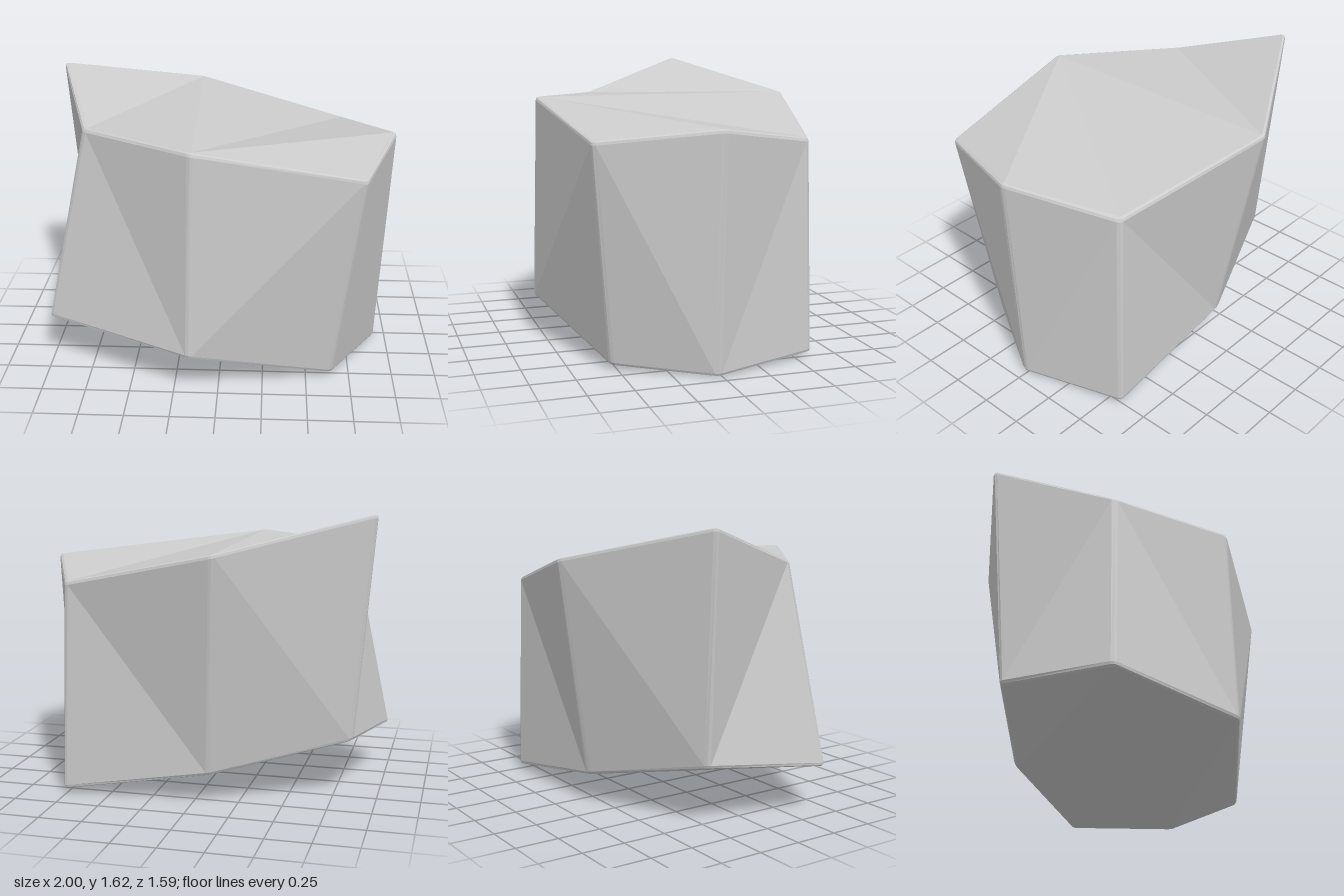
import * as THREE from 'three';

// Corners of the two seven-sided rims, counterclockwise from above
const TOP = [
  [-0.98, 1.63, -0.34], [-0.765, 1.415, 0.315], [-0.14, 1.435, 0.77], [0.795, 1.26, 0.665],
  [1.005, 1.325, 0.02], [0.735, 1.235, -0.57], [-0.17, 1.435, -0.8],
].map((p) => new THREE.Vector3(...p));
const BOTTOM = [
  [-0.86, 0.35, -0.3], [-1.005, 0.285, 0.405], [-0.16, 0.245, 0.8], [0.645, 0.025, 0.535],
  [0.935, 0, 0.02], [0.765, 0.03, -0.595], [-0.1, 0.175, -0.585],
].map((p) => new THREE.Vector3(...p));

const N = TOP.length;
const BEVEL = 0.02;
// Side panels whose fold rises from the lower left to the upper right
const RISING = [true, false, true, false, true, false, false];
// Folds of the two caps, by corner
const CAP = [[0, 1, 6], [1, 2, 6], [2, 5, 6], [2, 4, 5], [2, 3, 4]];

// One rim rounded into three loops from cap to wall, three points per corner
function roundedRim(rim, other) {
  const centre = rim.reduce((s, p) => s.add(p), new THREE.Vector3()).divideScalar(N);
  const steps = [[1, 0], [0.29, 0.29], [0, 1]]; // inset, shift along the wall
  return steps.map(([inset, shift]) => rim.flatMap((p, i) => {
    const toward = (q) => q.clone().sub(p).normalize().multiplyScalar(BEVEL);
    const prev = toward(rim[(i + N - 1) % N]);
    const next = toward(rim[(i + 1) % N]);
    const base = p.clone()
      .addScaledVector(toward(centre), inset)
      .addScaledVector(toward(other[i]), shift);
    return [
      base.clone().add(prev),
      base.clone().addScaledVector(prev, 0.25).addScaledVector(next, 0.25),
      base.clone().add(next),
    ];
  }));
}

function rockGeometry() {
  const positions = [];
  const tri = (...pts) => pts.forEach((p) => positions.push(p.x, p.y, p.z));
  const lower = roundedRim(BOTTOM, TOP);
  const upper = roundedRim(TOP, BOTTOM);
  const loops = [...lower, ...upper.slice().reverse()];
  const M = N * 3;

  // Walls and rounded edges
  for (let l = 0; l < loops.length - 1; l++) {
    const lo = loops[l], hi = loops[l + 1];
    for (let i = 0; i < M; i++) {
      const j = (i + 1) % M;
      const panel = i % 3 === 2 ? RISING[(i - 2) / 3] : true;
      if (panel) {
        tri(lo[i], lo[j], hi[j]);
        tri(lo[i], hi[j], hi[i]);
      } else {
        tri(lo[i], lo[j], hi[i]);
        tri(lo[j], hi[j], hi[i]);
      }
    }
  }

  // Folded caps, with thin strips out to the rounded corners
  const cap = (ring, up) => {
    const face = (a, b, c) => (up ? tri(a, b, c) : tri(a, c, b));
    CAP.forEach(([a, b, c]) => face(ring[a * 3 + 1], ring[b * 3 + 1], ring[c * 3 + 1]));
    for (let i = 0; i < N; i++) {
      const s = i * 3 + 1;
      const at = (k) => ring[(s + k) % M];
      face(at(0), at(1), at(2));
      face(at(0), at(2), at(3));
    }
  };
  cap(upper[0], true);
  cap(lower[0], false);

  const geometry = new THREE.BufferGeometry();
  geometry.setAttribute('position', new THREE.Float32BufferAttribute(positions, 3));
  geometry.computeVertexNormals();
  return geometry;
}

export function createModel() {
  const group = new THREE.Group();
  group.name = 'rock';
  const material = new THREE.MeshStandardMaterial({ color: 0xcccccc, flatShading: true });
  const stone = new THREE.Mesh(rockGeometry(), material);
  stone.name = 'stone';
  group.add(stone);
  return group;
}
